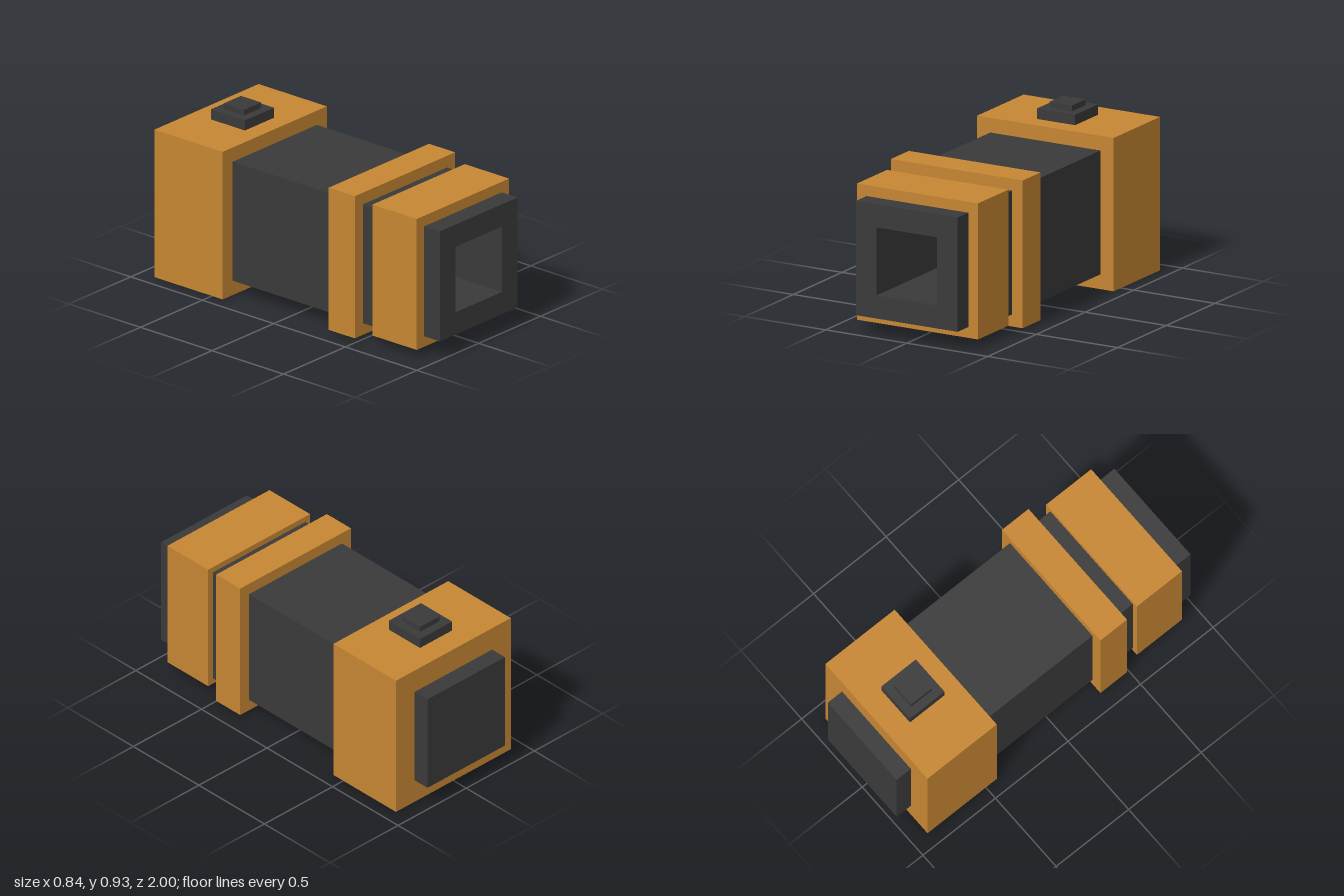
import * as THREE from 'three';

const CENTRE_Y = 0.422;

export function createModel() {
  const model = new THREE.Group();
  model.name = 'squareBarrelDevice';
  const orange = new THREE.MeshStandardMaterial({ color: 0xc68633 });
  orange.name = 'orange';
  const charcoal = new THREE.MeshStandardMaterial({ color: 0x3a3a3a });
  charcoal.name = 'charcoal';

  function add(name, geometry, material, y, z) {
    const mesh = new THREE.Mesh(geometry, material);
    mesh.name = name;
    mesh.position.set(0, y, z);
    model.add(mesh);
  }

  // Solid block spanning z0 to z1 and y0 to y1
  function block(name, half, y0, y1, z0, z1, material) {
    add(name, new THREE.BoxGeometry(half * 2, y1 - y0, z1 - z0), material, (y0 + y1) / 2, (z0 + z1) / 2);
  }

  // Square tube on the barrel axis
  function sleeve(name, half, bore, z0, z1, material) {
    const square = (h) => [[-h, -h], [h, -h], [h, h], [-h, h]].map(([x, y]) => new THREE.Vector2(x, y));
    const shape = new THREE.Shape(square(half));
    shape.holes.push(new THREE.Path(square(bore).reverse()));
    add(name, new THREE.ExtrudeGeometry(shape, { depth: z1 - z0, bevelEnabled: false }), material, CENTRE_Y, z0);
  }

  // Hollow barrel and muzzle
  sleeve('barrel', 0.34, 0.187, -0.425, 0.75, charcoal);
  sleeve('muzzle', 0.314, 0.187, 0.75, 1, charcoal);
  block('boreEnd', 0.187, CENTRE_Y - 0.187, CENTRE_Y + 0.187, -0.425, -0.418, charcoal);

  // Raised collars
  sleeve('rearCollar', 0.406, 0.3, 0.302, 0.485, orange);
  sleeve('frontCollar', 0.374, 0.3, 0.58, 0.89, orange);

  // Rear housing and its back cap
  block('rearHousing', 0.421, 0, 0.843, -0.902, -0.425, orange);
  block('backCap', 0.284, CENTRE_Y - 0.284, CENTRE_Y + 0.284, -1, -0.902, charcoal);

  // Stepped button on top
  block('buttonBase', 0.118, 0.843, 0.9, -0.77, -0.532, charcoal);
  block('buttonTop', 0.07, 0.9, 0.932, -0.722, -0.581, charcoal);

  return model;
}
